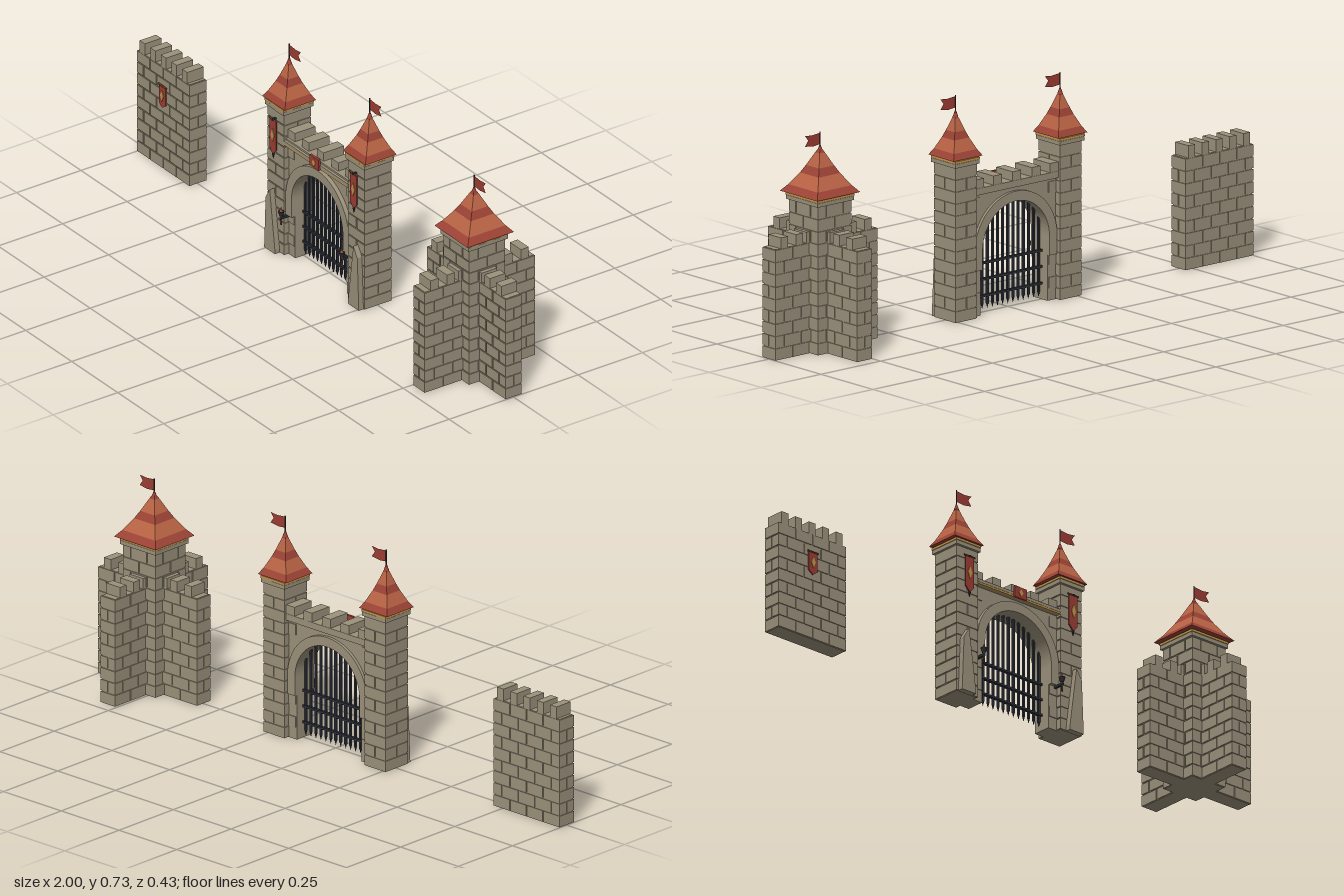
import * as THREE from 'three';
import { mergeGeometries } from 'three/addons/utils/BufferGeometryUtils.js';

const mat = (name, color, side = THREE.FrontSide) => {
  const m = new THREE.MeshStandardMaterial({ color, side });
  m.name = name;
  return m;
};

export function createModel() {
  const root = new THREE.Group();
  root.name = 'castleSet';
  const stone = mat('stone', 0x9c927c), darkTile = mat('darkTile', 0x9c4335), tile = mat('tile', 0xb96344);
  const gold = mat('gold', 0xc2954a), iron = mat('iron', 0x2b2f38), wood = mat('wood', 0x6b4428);
  const cloth = mat('cloth', 0x9e3d33, THREE.DoubleSide);

  const add = (parent, name, geo, material, x = 0, y = 0, z = 0) => {
    const m = new THREE.Mesh(geo, material);
    m.name = name;
    m.position.set(x, y, z);
    parent.add(m);
    return m;
  };
  const box = (parent, name, material, w, h, d, x, y, z) =>
    add(parent, name, new THREE.BoxGeometry(w, h, d), material, x, y, z);
  const group = (parent, name, x = 0, y = 0, z = 0) => {
    const g = new THREE.Group();
    g.name = name;
    g.position.set(x, y, z);
    parent.add(g);
    return g;
  };
  const poly = (pts) => new THREE.Shape(pts.map(([x, y]) => new THREE.Vector2(x, y)));
  const plate = (pts, depth) => new THREE.ExtrudeGeometry(poly(pts), { depth, bevelEnabled: false });

  // Running-bond bricks on a face centred on x, base on y = 0, front at z = 0
  const GAP = 0.004, RAISE = 0.003;
  const bricks = (w, h, keep = () => true) => {
    const rows = Math.max(1, Math.round(h / 0.04)), rh = h / rows;
    const n = Math.max(1, Math.round(w / 0.07)), bw = w / n;
    const list = [];
    for (let r = 0; r < rows; r++) {
      const shift = r % 2 ? bw / 2 : 0;
      for (let i = 0; i <= n; i++) {
        const a = Math.max(-w / 2, -w / 2 + i * bw - shift);
        const b = Math.min(w / 2, -w / 2 + (i + 1) * bw - shift);
        if (b - a < 0.006 || !keep(a, b, r * rh, (r + 1) * rh)) continue;
        const x0 = a > -w / 2 + 1e-4 ? a + GAP / 2 : a, x1 = b < w / 2 - 1e-4 ? b - GAP / 2 : b;
        list.push(new THREE.BoxGeometry(x1 - x0, rh - GAP, RAISE)
          .translate((x0 + x1) / 2, (r + 0.5) * rh, -RAISE / 2));
      }
    }
    return mergeGeometries(list);
  };

  // Solid core with bricks on its four sides
  const block = (parent, name, w, h, d, x = 0, z = 0) => {
    const g = group(parent, name, x, 0, z);
    box(g, name + 'Core', stone, w - 2 * RAISE, h, d - 2 * RAISE, 0, h / 2, 0);
    for (let k = 0; k < 4; k++) {
      const [fw, off] = k % 2 ? [d, w / 2] : [w, d / 2];
      const geo = bricks(fw, h).translate(0, 0, off).rotateY(k * Math.PI / 2);
      add(g, name + 'Bricks', geo, stone);
    }
    return g;
  };

  // Four-sided flared roof with coloured bands, pole and swallowtail flag
  const roof = (parent, half, base, height, poleTop) => {
    const g = group(parent, 'roof', 0, base, 0);
    const prof = [[1, 0], [0.79, 0.15], [0.5, 0.42], [0.35, 0.59], [0.12, 0.88], [0.015, 1]];
    for (let i = 0; i < prof.length - 1; i++) {
      const [r0, y0] = prof[i], [r1, y1] = prof[i + 1], h = (y1 - y0) * height;
      let geo = new THREE.CylinderGeometry(r1 * half * Math.SQRT2, r0 * half * Math.SQRT2, h, 4)
        .rotateY(Math.PI / 4).toNonIndexed();
      geo.computeVertexNormals();
      add(g, 'roofBand', geo, i % 2 ? tile : darkTile, 0, y0 * height + h / 2, 0);
    }
    const top = poleTop - base;
    add(g, 'finial', new THREE.ConeGeometry(0.009, 0.026, 8), darkTile, 0, height, 0);
    add(g, 'flagPole', new THREE.CylinderGeometry(0.002, 0.002, top - height + 0.02, 6), iron, 0, (top + height - 0.02) / 2, 0);
    const flag = poly([[0, -0.003], [0.035, -0.006], [0.063, -0.003], [0.05, -0.02], [0.063, -0.038], [0.03, -0.043], [0, -0.04]]);
    add(g, 'flag', new THREE.ShapeGeometry(flag), cloth, 0, top, 0);
  };

  const cornice = (parent, w, d, y) => {
    box(parent, 'cornice', stone, w + 0.012, 0.013, d + 0.012, 0, y + 0.0065, 0);
    box(parent, 'corniceNeck', stone, w, 0.014, d, 0, y + 0.019, 0);
    box(parent, 'goldTrim', gold, w + 0.014, 0.008, d + 0.014, 0, y + 0.018, 0);
  };

  // Hanging banner with a pointed hem and a plain diamond emblem
  const banner = (parent, x, top, z, w, h) => {
    const g = group(parent, 'banner', x, top, z);
    add(g, 'bannerCloth', plate([[-w / 2, 0], [-w / 2, -h * 0.84], [0, -h], [w / 2, -h * 0.84], [w / 2, 0]], 0.004), cloth);
    const cy = -h * 0.45, ew = w * 0.25, eh = Math.min(h * 0.25, w * 0.65);
    add(g, 'emblem', plate([[-ew, cy], [0, cy - eh], [ew, cy], [0, cy + eh]], 0.002), gold, 0, 0, 0.004);
    add(g, 'bannerRod', new THREE.CylinderGeometry(0.003, 0.003, w + 0.008, 6).rotateZ(Math.PI / 2), wood, 0, 0, 0.003);
  };

  // Plain wall section
  const wall = group(root, 'wallSection', -0.8575, 0, 0);
  block(wall, 'wall', 0.285, 0.365, 0.066);
  for (let i = -2; i <= 2; i++) box(wall, 'merlon', stone, 0.028, 0.042, 0.064, i * 0.0575, 0.384, 0);
  banner(wall, 0, 0.3, 0.033, 0.036, 0.078);

  // Corner tower with four wall arms
  const corner = group(root, 'cornerTower', 0.786, 0, 0);
  block(corner, 'armsX', 0.428, 0.362, 0.062);
  block(corner, 'armsZ', 0.062, 0.362, 0.428);
  block(corner, 'tower', 0.14, 0.485, 0.14);
  for (const s of [-1, 1]) {
    for (const o of [0.175, 0.112, 0.068]) {
      box(corner, 'merlon', stone, 0.03, 0.037, 0.06, s * o, 0.379, 0);
      box(corner, 'merlon', stone, 0.06, 0.037, 0.03, 0, 0.379, s * o);
    }
  }
  cornice(corner, 0.14, 0.14, 0.485);
  roof(corner, 0.09, 0.511, 0.145, 0.705);

  // Gatehouse wall with an arched opening
  const gate = group(root, 'gatehouse');
  const R = 0.14, SPRING = 0.212, OUT = 0.172;
  const arch = new THREE.Shape();
  arch.moveTo(-0.18, 0).lineTo(-R, 0).lineTo(-R, SPRING);
  arch.absarc(0, SPRING, R, Math.PI, 0, true);
  arch.lineTo(R, 0).lineTo(0.18, 0).lineTo(0.18, 0.4).lineTo(-0.18, 0.4);
  add(gate, 'gateWall', new THREE.ExtrudeGeometry(arch, { depth: 0.063, bevelEnabled: false, curveSegments: 24 }), stone, 0, 0, -0.03);
  const clear = (a, b, y0, y1) => {
    const x = a * b < 0 ? 0 : Math.min(Math.abs(a), Math.abs(b));
    return y0 < SPRING ? x >= R - 0.001 : Math.hypot(x, y0 - SPRING) > OUT - 0.015;
  };
  add(gate, 'frontBricks', bricks(0.352, 0.39, clear), stone, 0, 0, 0.036);
  add(gate, 'backBricks', bricks(0.352, 0.39, clear).rotateY(Math.PI), stone, 0, 0, -0.033);

  // Raised arch surround on both faces
  const ring = new THREE.Shape();
  const FOOT = 0.15;
  ring.moveTo(-OUT, FOOT).lineTo(-R, FOOT).lineTo(-R, SPRING);
  ring.absarc(0, SPRING, R, Math.PI, 0, true);
  ring.lineTo(R, FOOT).lineTo(OUT, FOOT).lineTo(OUT, SPRING);
  ring.absarc(0, SPRING, OUT, 0, Math.PI, false);
  add(gate, 'archSurround', new THREE.ExtrudeGeometry(ring, { depth: 0.088, bevelEnabled: false, curveSegments: 24 }), stone, 0, 0, -0.04);

  // Parapet, trim and merlons
  box(gate, 'wallWalk', stone, 0.352, 0.022, 0.09, 0, 0.41, 0);
  box(gate, 'goldStrip', gold, 0.352, 0.006, 0.012, 0, 0.402, 0.047);
  box(gate, 'ledge', stone, 0.352, 0.01, 0.016, 0, 0.41, 0.046);
  for (const x of [-0.156, -0.08, 0, 0.08, 0.156]) box(gate, 'merlon', stone, 0.036, 0.034, 0.08, x, 0.434, -0.004);
  box(gate, 'plaque', cloth, 0.05, 0.038, 0.008, 0, 0.416, 0.056);
  add(gate, 'plaqueEmblem', plate([[-0.01, 0], [0, -0.013], [0.01, 0], [0, 0.013]], 0.002), gold, 0, 0.416, 0.06);

  // Portcullis
  const grille = group(gate, 'portcullis');
  for (let i = -6; i <= 6; i++) {
    const x = i * 0.0215, top = SPRING + Math.sqrt(R * R - x * x) + 0.004;
    box(grille, 'bar', iron, 0.007, top - 0.025, 0.007, x, (top + 0.025) / 2, 0);
    add(grille, 'barPoint', new THREE.ConeGeometry(0.005, 0.016, 4).rotateX(Math.PI), iron, x, 0.017, 0);
  }
  for (const y of [0.053, 0.107, 0.16]) box(grille, 'crossBar', iron, 0.28, 0.007, 0.011, 0, y, 0);

  // Mirrored gate towers, buttresses, banners and torches
  for (const s of [-1, 1]) {
    const t = group(gate, s < 0 ? 'rightTower' : 'leftTower', s * 0.219, 0, 0);
    block(t, 'tower', 0.09, 0.507, 0.104);
    cornice(t, 0.09, 0.104, 0.507);
    roof(t, 0.061, 0.532, 0.138, 0.727);
    const pts = [[0.038, 0], [0.03, 0.185], [0.008, 0.22], [-0.02, 0.015], [-0.02, 0]].map(([x, y]) => [s * x, y]);
    add(t, 'buttress', plate(pts, 0.02), stone, 0, 0, 0.05);
    banner(t, 0, 0.475, 0.06, 0.036, 0.125);
    box(t, 'bannerHook', iron, 0.006, 0.006, 0.018, 0, 0.475, 0.058);
    add(t, 'bannerTassel', new THREE.ConeGeometry(0.005, 0.02, 6).rotateX(Math.PI), iron, 0, 0.342, 0.062);

    const torch = group(gate, 'torch', s * 0.165, 0.15, 0.07);
    box(torch, 'torchBracket', iron, 0.008, 0.008, 0.04, 0, -0.004, -0.016);
    add(torch, 'torchHandle', new THREE.CylinderGeometry(0.005, 0.003, 0.05, 6), wood, 0, -0.004, 0);
    add(torch, 'torchCup', new THREE.CylinderGeometry(0.011, 0.006, 0.016, 8), iron, 0, 0.012, 0);
    add(torch, 'torchEmber', new THREE.ConeGeometry(0.007, 0.018, 6), tile, 0, 0.027, 0);
  }
  return root;
}
